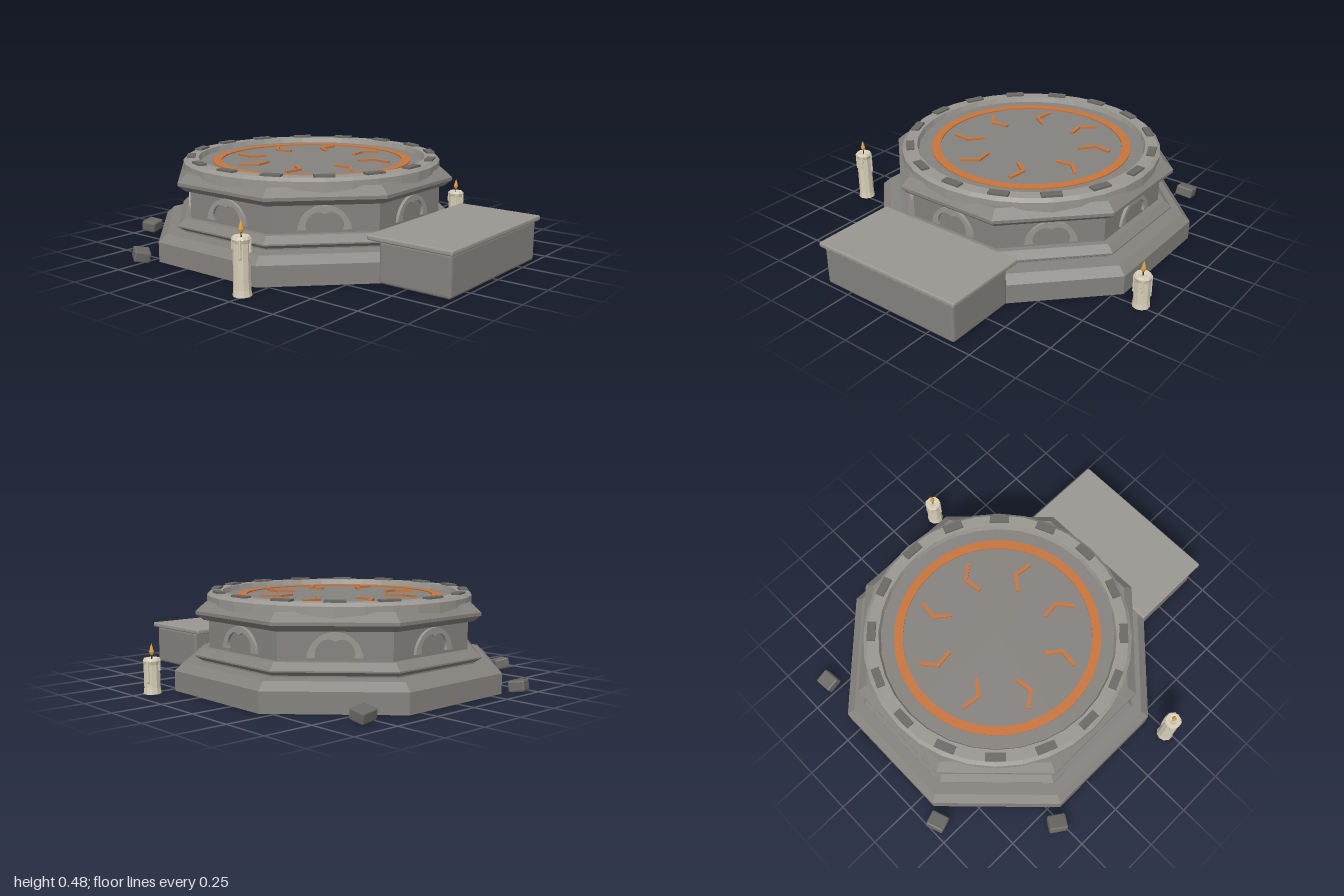
import * as THREE from 'three';
import { RoundedBoxGeometry } from 'three/addons/geometries/RoundedBoxGeometry.js';

const mat = (color, side = THREE.FrontSide) =>
  new THREE.MeshStandardMaterial({ color, flatShading: true, side });
const stone = mat(0x85827e);
const paleStone = mat(0x9a9792);
const darkStone = mat(0x6a6966);
const copper = mat(0xc8743c);
const wax = mat(0xd8cfb8);
const flameMat = mat(0xe0a040);
const wickMat = mat(0x33302c);

function add(parent, name, geometry, material, x = 0, y = 0, z = 0) {
  const mesh = new THREE.Mesh(geometry, material);
  mesh.name = name;
  mesh.position.set(x, y, z);
  parent.add(mesh);
  return mesh;
}

// Revolved profile; octagons are sized by the distance to their flat sides
const lathe = (points, sides, phase = 0) =>
  new THREE.LatheGeometry(points.map(([r, y]) => new THREE.Vector2(r, y)), sides, phase);
const octagon = (points) =>
  lathe(points.map(([a, y]) => [a / Math.cos(Math.PI / 8), y]), 8, Math.PI / 8);

// Arch band with a two-lobed opening
function archGeometry() {
  const s = new THREE.Shape();
  s.moveTo(0.13, 0.222);
  s.absarc(0, 0.207, 0.13, 0.115, Math.PI - 0.115, false);
  s.lineTo(-0.086, 0.222);
  s.bezierCurveTo(-0.105, 0.27, -0.05, 0.33, 0, 0.296);
  s.bezierCurveTo(0.05, 0.33, 0.105, 0.27, 0.086, 0.222);
  s.closePath();
  return new THREE.ExtrudeGeometry(s, { depth: 0.02, bevelEnabled: false, curveSegments: 10 });
}

function makeCandle(height, x, z) {
  const candle = new THREE.Group();
  candle.name = 'candle';
  candle.position.set(x, 0, z);
  add(candle, 'candleBody', lathe([
    [0, 0], [0.044, 0], [0.04, 0.03], [0.039, height - 0.03],
    [0.044, height - 0.012], [0.038, height], [0.026, height], [0, height - 0.008],
  ], 10), wax);
  // Wax drips of differing lengths
  [0.06, 0.1, 0.045, 0.08].forEach((len, i) => {
    const a = i * 1.6 + 0.5;
    add(candle, 'waxDrip', new THREE.CapsuleGeometry(0.008, len, 3, 6), wax,
      Math.sin(a) * 0.038, height - 0.012 - len / 2, Math.cos(a) * 0.038);
  });
  add(candle, 'wick', new THREE.CylinderGeometry(0.003, 0.003, 0.025, 5), wickMat, 0, height + 0.004, 0);
  add(candle, 'flame', lathe([
    [0, 0.008], [0.009, 0.018], [0.012, 0.03], [0.007, 0.05], [0, 0.072],
  ], 8), flameMat, 0, height, 0);
  return candle;
}

export function createModel() {
  const model = new THREE.Group();
  model.name = 'altar';

  const dais = new THREE.Group();
  dais.name = 'dais';
  dais.position.z = -0.12;
  model.add(dais);

  // Octagonal tiers, bottom to top
  add(dais, 'basePlinth', octagon([[0, 0], [0.79, 0], [0.79, 0.1], [0.75, 0.138], [0, 0.138]]), stone);
  add(dais, 'lowerMoulding', octagon([
    [0, 0.13], [0.665, 0.13], [0.665, 0.145], [0.695, 0.165], [0.695, 0.172], [0.66, 0.205], [0, 0.205],
  ]), stone);
  add(dais, 'drum', octagon([[0, 0.19], [0.63, 0.19], [0.63, 0.355], [0, 0.355]]), stone);
  add(dais, 'cornice', octagon([
    [0, 0.343], [0.655, 0.343], [0.69, 0.372], [0.69, 0.388], [0.645, 0.43], [0, 0.43],
  ]), stone);

  // An arch on each face of the drum
  const arch = archGeometry();
  for (let i = 0; i < 8; i++) {
    const face = new THREE.Group();
    face.name = 'archFace';
    face.rotation.y = i * Math.PI / 4;
    add(face, 'arch', arch, paleStone, 0, 0, 0.625);
    dais.add(face);
  }

  // Round rim around a sunken floor
  add(dais, 'rim', lathe([
    [0.6, 0.4], [0.673, 0.4], [0.673, 0.455], [0.655, 0.471], [0.595, 0.471], [0.585, 0.44], [0.585, 0.4],
  ], 32), paleStone);
  add(dais, 'floor', new THREE.CylinderGeometry(0.59, 0.59, 0.03, 32), stone, 0, 0.43, 0);
  add(dais, 'inlayRing', lathe([
    [0.475, 0.44], [0.52, 0.44], [0.52, 0.451], [0.475, 0.451], [0.475, 0.44],
  ], 48), copper);

  // Blocks along the rim
  const blockGeo = new THREE.BoxGeometry(0.1, 0.02, 0.042);
  for (let i = 0; i < 16; i++) {
    const a = i * Math.PI / 8;
    const block = add(dais, 'rimBlock', blockGeo, darkStone, Math.sin(a) * 0.63, 0.471, Math.cos(a) * 0.63);
    block.rotation.y = a;
  }

  // Bent bars set in the floor
  const bends = [[0, -0.41], [-0.043, -0.333], [0, -0.26]];
  for (let i = 0; i < 8; i++) {
    const mark = new THREE.Group();
    mark.name = 'floorMark';
    mark.rotation.y = -(i + 0.5) * Math.PI / 4;
    for (let k = 0; k < 2; k++) {
      const [x0, z0] = bends[k], [x1, z1] = bends[k + 1];
      const length = Math.hypot(x1 - x0, z1 - z0) + 0.012;
      const bar = add(mark, 'markBar', new THREE.BoxGeometry(0.017, 0.014, length), copper,
        (x0 + x1) / 2, 0.449, (z0 + z1) / 2);
      bar.rotation.y = Math.atan2(x1 - x0, z1 - z0);
    }
    dais.add(mark);
  }

  // Front step with an overhanging slab
  add(model, 'stepBody', new RoundedBoxGeometry(0.8, 0.205, 0.38, 2, 0.015), stone, 0, 0.1025, 0.795);
  add(model, 'stepSlab', new RoundedBoxGeometry(0.84, 0.026, 0.45, 2, 0.008), paleStone, 0, 0.215, 0.775);

  model.add(makeCandle(0.27, -0.905, 0.235), makeCandle(0.172, 0.9, 0.235));

  // Loose rubble: x, z, turn, tilt
  [[-0.405, -0.952, 0.35, 0.15], [0.56, -0.86, 0.1, -0.2], [-0.84, -0.52, 1.0, 0.2]].forEach(([x, z, turn, tilt]) => {
    const rock = add(model, 'rubble', new RoundedBoxGeometry(0.095, 0.055, 0.08, 1, 0.008), darkStone, x, 0.036, z);
    rock.rotation.set(tilt, turn, tilt * 0.5, 'YXZ');
  });

  return model;
}
